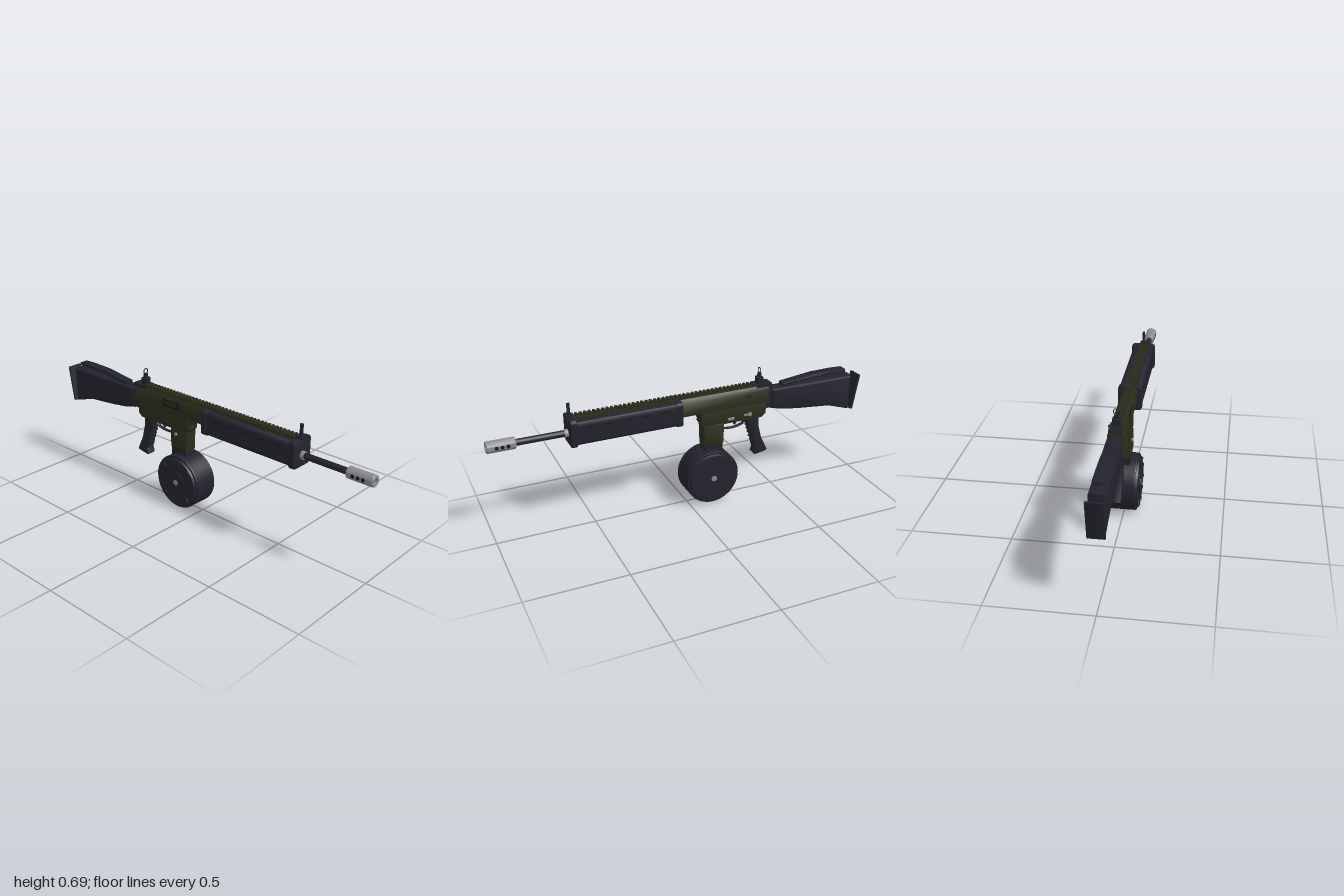
import * as THREE from 'three';
import { toCreasedNormals } from 'three/addons/utils/BufferGeometryUtils.js';

const mat = (name, color) => Object.assign(new THREE.MeshStandardMaterial({ color }), { name });

export function createModel() {
  const dark = mat('charcoal polymer', 0x23232e);
  const olive = mat('olive metal', 0x2d2d1d);
  const steel = mat('bare steel', 0x8b8b90);
  const black = mat('black metal', 0x15151b);
  const model = new THREE.Group();
  model.name = 'rifle';

  const add = (name, geo, material, x = 0, y = 0, z = 0) => {
    const m = new THREE.Mesh(geo, material);
    m.name = name;
    m.position.set(x, y, z);
    model.add(m);
    return m;
  };
  // box given by its limits in x and y and its full width in z
  const box = (name, x0, x1, y0, y1, w, material, z = 0) =>
    add(name, new THREE.BoxGeometry(x1 - x0, y1 - y0, w), material, (x0 + x1) / 2, (y0 + y1) / 2, z);
  const toShape = pts => new THREE.Shape(pts.map(p => new THREE.Vector2(...p)));
  // side profile in x-y, centred on z, with bevelled edges
  const profile = (name, shape, w, bevel, material) => {
    const g = new THREE.ExtrudeGeometry(shape, {
      depth: w - 2 * bevel, bevelEnabled: bevel > 0, bevelSize: bevel, bevelThickness: bevel,
      bevelOffset: -bevel, bevelSegments: 2, curveSegments: 12,
    });
    g.translate(0, 0, -w / 2 + bevel);
    return add(name, toCreasedNormals(g, 0.5), material);
  };
  // cross-section in z-y swept along x
  const sweepX = (name, shape, x0, x1, material, bevel = 0) => {
    const g = new THREE.ExtrudeGeometry(shape, {
      depth: x1 - x0 - 2 * bevel, bevelEnabled: bevel > 0, bevelSize: bevel, bevelThickness: bevel,
      bevelOffset: -bevel, bevelSegments: 2, curveSegments: 6,
    });
    g.rotateY(Math.PI / 2).translate(x0 + bevel, 0, 0);
    return add(name, toCreasedNormals(g, 0.6), material);
  };
  const roundRect = (w, y0, y1, r) => {
    const s = new THREE.Shape(), a = w / 2;
    s.moveTo(-a + r, y0).lineTo(a - r, y0).quadraticCurveTo(a, y0, a, y0 + r);
    s.lineTo(a, y1 - r).quadraticCurveTo(a, y1, a - r, y1);
    s.lineTo(-a + r, y1).quadraticCurveTo(-a, y1, -a, y1 - r);
    s.lineTo(-a, y0 + r).quadraticCurveTo(-a, y0, -a + r, y0);
    return s;
  };
  const rodX = (name, r, x0, x1, y, material) =>
    add(name, new THREE.CylinderGeometry(r, r, x1 - x0, 24).rotateZ(-Math.PI / 2), material, (x0 + x1) / 2, y);
  const rodZ = (name, r, x, y, z0, z1, material) =>
    add(name, new THREE.CylinderGeometry(r, r, z1 - z0, 20).rotateX(Math.PI / 2), material, x, y, (z0 + z1) / 2);

  // stock, cheek rest and butt plate
  profile('stock', toShape([[-0.945, 0.37], [-0.82, 0.41], [-0.62, 0.43], [-0.53, 0.443], [-0.465, 0.46],
    [-0.465, 0.567], [-0.945, 0.567]]), 0.074, 0.012, dark);
  profile('cheekRest', toShape([[-0.91, 0.588], [-0.75, 0.59], [-0.535, 0.567], [-0.535, 0.583],
    [-0.72, 0.605], [-0.84, 0.607], [-0.91, 0.604]]), 0.05, 0.004, dark);
  profile('buttPlate', toShape([[-0.968, 0.37], [-0.956, 0.37], [-0.988, 0.56], [-1, 0.56]]), 0.08, 0.003, dark);
  box('stockMount', -0.467, -0.435, 0.465, 0.56, 0.056, dark);

  // receiver
  sweepX('upperReceiver', toShape([[-0.034, 0.502], [0.034, 0.502], [0.036, 0.512], [0.036, 0.57],
    [0.022, 0.592], [-0.022, 0.592], [-0.036, 0.57], [-0.036, 0.512]]), -0.447, 0.042, olive);
  profile('lowerReceiver', toShape([[-0.435, 0.44], [-0.41, 0.42], [-0.085, 0.42], [-0.07, 0.44],
    [-0.07, 0.505], [-0.435, 0.505]]), 0.066, 0.004, olive);
  profile('magazineWell', toShape([[-0.196, 0.315], [-0.085, 0.315], [-0.08, 0.43], [-0.196, 0.43]]), 0.07, 0.008, olive);
  box('takedownLug', -0.083, -0.062, 0.468, 0.5, 0.045, dark);

  // ejection port with its bolt, and controls
  box('ejectionPort', -0.245, -0.13, 0.533, 0.577, 0.006, black, 0.036);
  box('boltFace', -0.237, -0.145, 0.543, 0.563, 0.006, olive, 0.038);
  box('portDeflector', -0.24, -0.135, 0.571, 0.577, 0.012, olive, 0.036);
  rodZ('magazineRelease', 0.009, -0.155, 0.398, 0.03, 0.043, steel);
  rodZ('selectorPivot', 0.01, -0.34, 0.452, -0.04, -0.03, steel);
  box('selectorLever', -0.34, -0.305, 0.449, 0.457, 0.006, steel, -0.038);
  box('boltCatch', -0.25, -0.215, 0.44, 0.452, 0.008, steel, -0.036);
  rodZ('chargingHandle', 0.007, -0.33, 0.555, -0.05, -0.03, dark);

  // toothed top rail
  box('rail', -0.465, 0.615, 0.587, 0.598, 0.044, olive);
  for (let i = 0; i < 44; i++) {
    const x = -0.375 + i * 0.0222;
    box('railTooth', x, x + 0.012, 0.597, 0.607, 0.04, olive);
  }
  box('railEnd', -0.465, -0.38, 0.585, 0.602, 0.06, dark);

  // handguard with slots, ribs and end caps
  sweepX('handguard', roundRect(0.114, 0.465, 0.588, 0.022), 0.04, 0.59, dark, 0.004);
  sweepX('handguardRearBand', roundRect(0.122, 0.462, 0.592, 0.022), 0.04, 0.075, dark, 0.004);
  sweepX('handguardFrontCap', roundRect(0.128, 0.458, 0.6, 0.022), 0.582, 0.612, dark, 0.004);
  for (let i = 0; i < 5; i++) {
    const x = 0.105 + i * 0.095;
    box('bottomRib', x, x + 0.065, 0.46, 0.468, 0.05, dark);
    for (const s of [1, -1]) {
      box('sideRib', x, x + 0.065, 0.493, 0.5, 0.006, dark, s * 0.057);
      box('ventSlot', x + 0.012, x + 0.052, 0.552, 0.558, 0.004, black, s * 0.0565);
    }
  }

  // barrel and muzzle brake
  rodX('barrel', 0.016, 0.6, 0.9, 0.517, dark);
  rodX('gasCollar', 0.02, 0.61, 0.63, 0.517, steel);
  const brakePts = [[0.012, 0], [0.025, 0], [0.029, 0.005], [0.029, 0.133], [0.026, 0.138], [0.015, 0.138], [0.015, 0.1]];
  const brake = new THREE.LatheGeometry(brakePts.map(p => new THREE.Vector2(...p)), 28).rotateZ(-Math.PI / 2);
  add('muzzleBrake', toCreasedNormals(brake, 0.5), steel, 0.862, 0.517);
  rodX('bore', 0.0155, 0.9, 0.968, 0.517, black);
  for (let i = 0; i < 3; i++) rodZ('brakePort', 0.009, 0.9 + i * 0.027, 0.517, -0.0296, 0.0296, black);

  // front and rear sights
  box('frontSightBase', 0.58, 0.62, 0.598, 0.61, 0.036, dark);
  box('frontSightPost', 0.595, 0.609, 0.605, 0.668, 0.01, dark);
  box('rearSightBase', -0.42, -0.39, 0.6, 0.636, 0.036, dark);
  box('rearSightStem', -0.412, -0.398, 0.63, 0.657, 0.018, dark);
  add('rearSightRing', new THREE.TorusGeometry(0.0135, 0.0022, 8, 24).rotateY(Math.PI / 2), black, -0.405, 0.67);

  // pistol grip with finger ridges
  profile('pistolGrip', toShape([[-0.4, 0.425], [-0.402, 0.37], [-0.42, 0.3], [-0.457, 0.222], [-0.448, 0.214],
    [-0.385, 0.204], [-0.376, 0.214], [-0.385, 0.24], [-0.362, 0.32], [-0.335, 0.4], [-0.33, 0.425]]), 0.052, 0.008, dark);
  for (let i = 0; i < 6; i++) {
    const ridge = box('gripRidge', -0.004, 0.004, -0.004, 0.004, 0.04, dark);
    ridge.position.set(-0.343 - i * 0.0075, 0.375 - i * 0.023, 0);
  }

  // trigger and its guard
  const guard = new THREE.CatmullRomCurve3([[-0.335, 0.415], [-0.31, 0.39], [-0.27, 0.38], [-0.225, 0.38], [-0.19, 0.388]]
    .map(([x, y]) => new THREE.Vector3(x, y, 0)));
  add('triggerGuard', new THREE.TubeGeometry(guard, 20, 0.005, 8).scale(1, 1, 2), dark);
  profile('trigger', toShape([[-0.285, 0.425], [-0.28, 0.405], [-0.268, 0.392], [-0.264, 0.396], [-0.27, 0.425]]), 0.012, 0, dark);

  // drum magazine
  const cx = -0.122, cy = 0.145;
  box('magazineNeck', -0.19, -0.09, 0.25, 0.32, 0.062, dark);
  const drumPts = [[0, -0.075], [0.128, -0.075], [0.133, -0.065], [0.143, -0.064], [0.145, -0.06],
    [0.145, 0.06], [0.143, 0.064], [0.133, 0.065], [0.128, 0.075], [0, 0.075]];
  const drum = new THREE.LatheGeometry(drumPts.map(p => new THREE.Vector2(...p)), 48).rotateX(Math.PI / 2);
  add('drumMagazine', toCreasedNormals(drum, 0.4), dark, cx, cy);
  for (const s of [1, -1]) {
    for (let i = 0; i < 12; i++) {
      const a = (i + 0.5) * Math.PI / 6;
      const lug = add('drumLug', new THREE.BoxGeometry(0.026, 0.014, 0.008), dark,
        cx + Math.cos(a) * 0.112, cy + Math.sin(a) * 0.112, s * 0.0745);
      lug.rotation.z = a;
    }
    rodZ('drumPlate', 0.06, cx, cy, s * 0.0755 - 0.002, s * 0.0755 + 0.002, dark);
    rodZ('drumHub', 0.015, cx, cy, s * 0.0755 - 0.0045, s * 0.0755 + 0.0045, steel);
  }
  return model;
}
